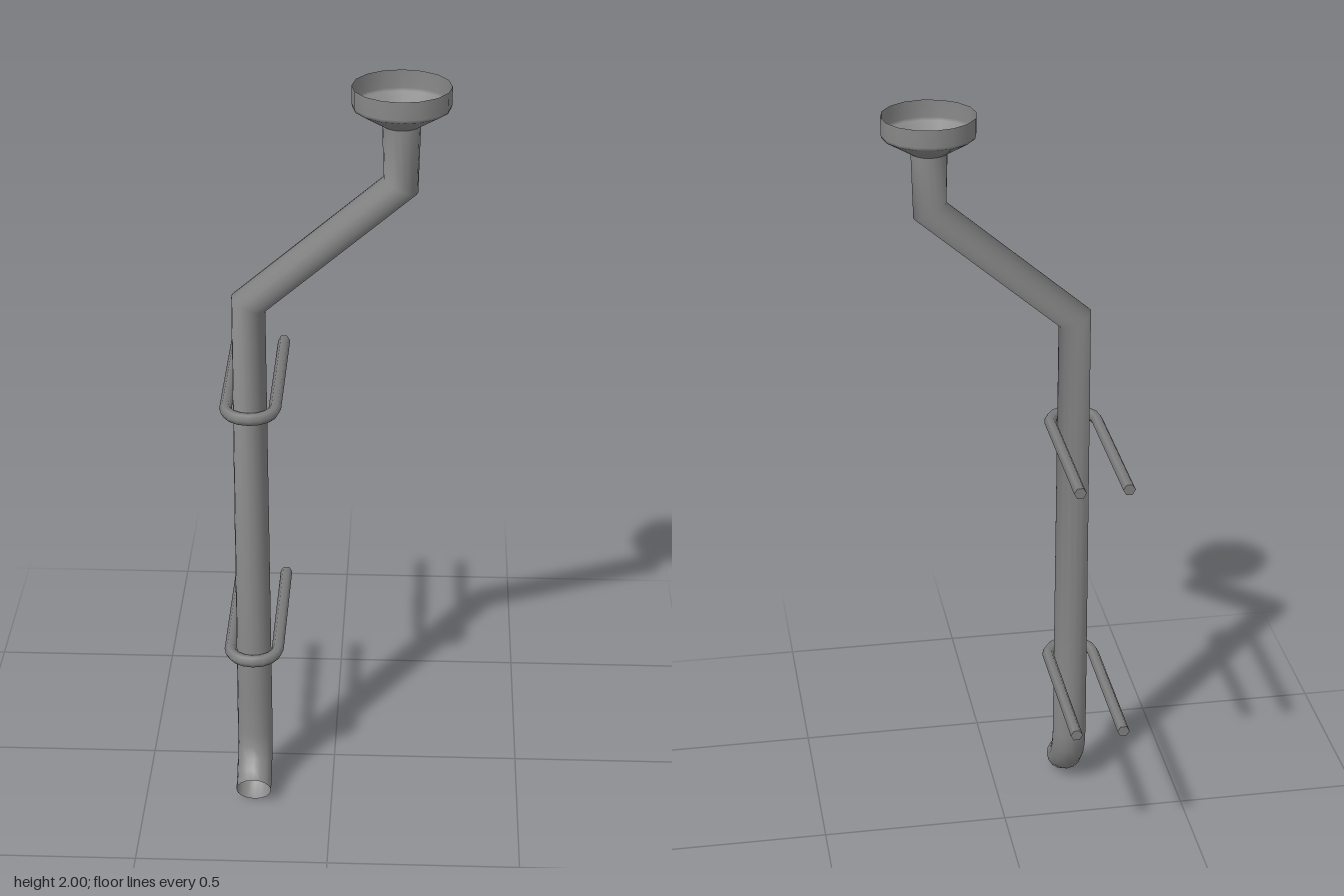
import * as THREE from 'three';

const V = (x, y, z) => new THREE.Vector3(x, y, z);

// Round bar along a path lying in the plane at right angles to axis
function sweep(path, axis, radius, sides, phase = 0, endDir = null) {
  const pos = [], nor = [], idx = [], row = sides + 1;
  path.forEach((p, i) => {
    const t = V(0, 0, 0);
    if (i > 0) t.add(p.clone().sub(path[i - 1]).normalize());
    if (i < path.length - 1) t.add(path[i + 1].clone().sub(p).normalize());
    if (endDir && i === path.length - 1) t.copy(endDir);
    const side = t.normalize().cross(axis);
    for (let j = 0; j <= sides; j++) {
      const a = phase + (j / sides) * Math.PI * 2;
      const n = axis.clone().multiplyScalar(Math.cos(a)).addScaledVector(side, Math.sin(a));
      nor.push(n.x, n.y, n.z);
      n.multiplyScalar(radius).add(p);
      pos.push(n.x, n.y, n.z);
      if (i < path.length - 1 && j < sides) {
        const k = i * row + j;
        idx.push(k, k + 1, k + row, k + 1, k + row + 1, k + row);
      }
    }
  });
  const g = new THREE.BufferGeometry();
  g.setAttribute('position', new THREE.Float32BufferAttribute(pos, 3));
  g.setAttribute('normal', new THREE.Float32BufferAttribute(nor, 3));
  g.setIndex(idx);
  return g;
}

export function createModel() {
  const group = new THREE.Group();
  group.name = 'drainpipe';
  const pipeGrey = new THREE.MeshStandardMaterial({ color: 0x888888, side: THREE.DoubleSide });
  pipeGrey.name = 'pipe grey';
  const clipGrey = new THREE.MeshStandardMaterial({ color: 0x7e7e7e });
  clipGrey.name = 'clip grey';
  const add = (name, geometry, material, parent = group) => {
    const m = new THREE.Mesh(geometry, material);
    m.name = name;
    parent.add(m);
    return m;
  };

  const PX = -0.208, PZ = 0.148, TOPX = 0.166, R = 0.0465;

  // Open funnel at the top
  const profile = [[0.039, 1.895], [0.046, 1.903], [0.118, 1.947], [0.12, 1.955], [0.12, 2]];
  const funnel = add('funnel', new THREE.LatheGeometry(
    profile.map(([r, y]) => new THREE.Vector2(r, y)), 16), pipeGrey);
  funnel.position.set(TOPX, 0, PZ);

  // Pipe with its sideways offset
  add('downpipe', sweep([
    V(TOPX, 1.905, PZ), V(TOPX, 1.75, PZ), V(PX, 1.432, PZ), V(PX, 0.3, PZ),
  ], V(0, 0, 1), R, 16), pipeGrey);

  // Curved open outlet, turning to the front
  const turn = THREE.MathUtils.degToRad(66), bend = 0.152, bendY = 0.182;
  const outlet = [V(PX, 0.3, PZ)];
  for (let i = 0; i <= 4; i++) {
    const a = (turn * i) / 4;
    outlet.push(V(PX, bendY - bend * Math.sin(a), PZ + bend * (1 - Math.cos(a))));
  }
  add('outlet', sweep(outlet, V(1, 0, 0), R, 16, 0,
    V(0, -Math.cos(turn), Math.sin(turn))), pipeGrey);

  // U-shaped wall clips
  const rod = 0.016, loopR = 0.0625, loopZ = 0.1425, backZ = -0.273;
  const loop = [V(PX - loopR, 0, backZ)];
  for (let i = 0; i <= 8; i++) {
    const a = Math.PI * (1 - i / 8);
    loop.push(V(PX + loopR * Math.cos(a), 0, loopZ + loopR * Math.sin(a)));
  }
  loop.push(V(PX + loopR, 0, backZ));
  const clipGeo = sweep(loop, V(0, 1, 0), rod, 6, Math.PI / 6);
  const capGeo = new THREE.CircleGeometry(rod, 6).rotateY(Math.PI);
  for (const y of [1.138, 0.427]) {
    const clip = new THREE.Group();
    clip.name = 'wallClip';
    clip.position.y = y;
    add('clipLoop', clipGeo, clipGrey, clip);
    for (const s of [-1, 1]) {
      add('clipEnd', capGeo, clipGrey, clip).position.set(PX + s * loopR, 0, backZ);
    }
    group.add(clip);
  }
  return group;
}
